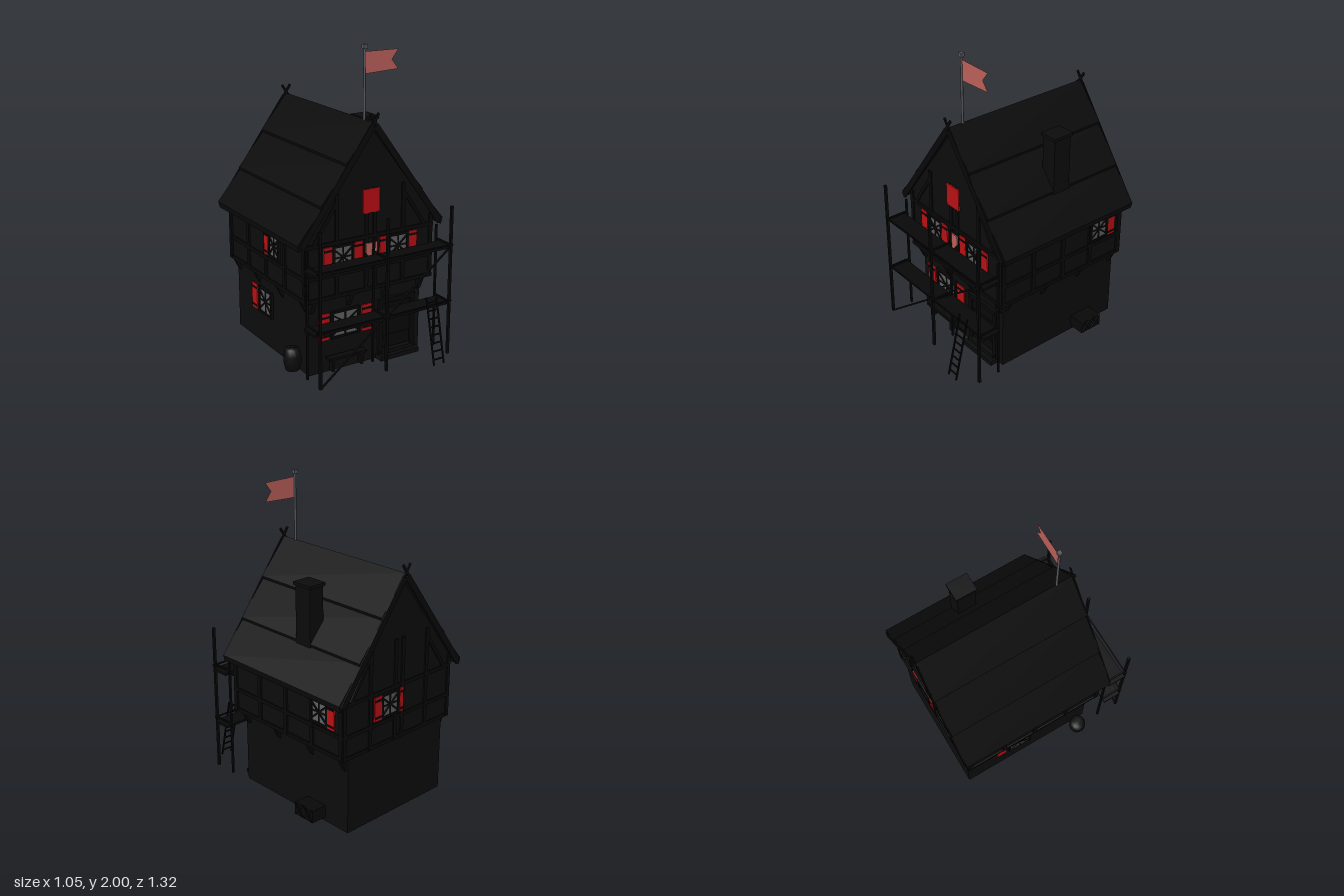
import * as THREE from 'three';

const mat = (name, color, side = THREE.FrontSide) => {
  const m = new THREE.MeshStandardMaterial({ color, side });
  m.name = name;
  return m;
};

export function createModel() {
  const root = new THREE.Group();
  root.name = 'timberHouse';
  const wall = mat('sootBlackWall', 0x0c0c0c, THREE.DoubleSide);
  const timber = mat('darkTimber', 0x080808);
  const tile = mat('darkRoof', 0x0b0b0b);
  const red = mat('shutterRed', 0xb81014);
  const glass = mat('greyGlass', 0x606064);
  const cloth = mat('fadedRedCloth', 0xbc605a, THREE.DoubleSide);
  const iron = mat('poleGrey', 0x55555c);

  const add = (name, geo, m, parent = root) => {
    const mesh = new THREE.Mesh(geo, m);
    mesh.name = name;
    parent.add(mesh);
    return mesh;
  };
  // Box given by its min and max on each axis
  const box = (name, m, x0, x1, y0, y1, z0, z1, parent = root) => {
    const mesh = add(name, new THREE.BoxGeometry(x1 - x0, y1 - y0, z1 - z0), m, parent);
    mesh.position.set((x0 + x1) / 2, (y0 + y1) / 2, (z0 + z1) / 2);
    return mesh;
  };
  // Square beam between two points
  const beam = (name, a, b, t, m = timber, parent = root, d = t) => {
    const p = new THREE.Vector3(...a), q = new THREE.Vector3(...b);
    const mesh = add(name, new THREE.BoxGeometry(t, p.distanceTo(q), d), m, parent);
    mesh.position.copy(p).add(q).multiplyScalar(0.5);
    mesh.quaternion.setFromUnitVectors(new THREE.Vector3(0, 1, 0), q.sub(p).normalize());
    return mesh;
  };
  const shapeOf = pts => new THREE.Shape(pts.map(p => new THREE.Vector2(...p)));
  const extrude = (pts, depth) =>
    new THREE.ExtrudeGeometry(shapeOf(pts), { depth, bevelEnabled: false });

  // Ground floor, open underneath
  const groundGeo = new THREE.BoxGeometry(0.82, 0.5, 0.93);
  const idx = Array.from(groundGeo.index.array);
  groundGeo.setIndex([...idx.slice(0, 12), ...idx.slice(24)]);
  groundGeo.clearGroups();
  add('groundFloorWalls', groundGeo, wall).position.set(0, 0.25, -0.145);

  // Upper floor and gables
  add('upperFloorWalls', extrude(
    [[-0.455, 0.5], [0.455, 0.5], [0.455, 0.93], [0, 1.52], [-0.455, 0.93]], 0.98), wall)
    .position.z = -0.615;

  // Horizontal beams around the upper floor
  for (const y of [0.51, 0.65, 0.85])
    box('wallBeam', timber, -0.465, 0.465, y - 0.012, y + 0.012, -0.622, 0.375);
  // Posts on the long sides and gables
  for (const s of [-1, 1]) {
    for (const z of [-0.6, -0.35, -0.12, 0.12, 0.355])
      box('sidePost', timber, s * 0.457 - 0.01, s * 0.457 + 0.01, 0.5, 0.9, z - 0.014, z + 0.014);
    for (const z of [-0.617, 0.367]) {
      for (const x of [0.03, 0.24, 0.45])
        box('gablePost', timber, s * x - 0.013, s * x + 0.013, 0.5, x > 0.4 ? 0.92 : 1.15, z - 0.007, z + 0.007);
      beam('gableBrace', [s * 0.4, 0.86, z], [s * 0.24, 1.1, z], 0.022, timber, root, 0.014);
    }
    // Brackets under the jetty
    for (const x of [0.395, 0.13])
      beam('frontBracket', [s * x, 0.42, 0.318], [s * x, 0.51, 0.36], 0.03);
    for (const z of [-0.58, -0.3, 0, 0.29])
      beam('sideBracket', [s * 0.405, 0.42, z], [s * 0.45, 0.51, z], 0.025);
  }

  // Roof: three overlapping courses on each slope
  const ridge = 1.565, slope = 1.31;
  const courses = [[0, 0.19, 0.003], [0.17, 0.365, 0], [0.345, 0.525, -0.003]];
  for (const s of [-1, 1]) {
    courses.forEach(([x0, x1, lift], i) => {
      const top = x => ridge - slope * x + lift;
      const pts = [[s * x0, top(x0) - 0.012], [s * x1, top(x1) + 0.012],
        [s * (x1 - 0.012), top(x1) - 0.03], [s * x0, top(x0) - 0.045]];
      add('roofCourse' + i, extrude(pts, 1.045), tile).position.z = -0.65;
    });
    // Bargeboards crossing at the ridge
    for (const z of [-0.654, 0.4]) {
      beam('bargeboard', [-s * 0.03, 1.61, z], [s * 0.04, 1.505, z], 0.016, timber, root, 0.008);
      beam('bargeboard', [s * 0.01, 1.535, z], [s * 0.5, 0.865, z], 0.04, timber, root, 0.008);
    }
  }

  // Chimney
  box('chimney', tile, 0.26, 0.365, 1.05, 1.45, -0.24, -0.115);
  box('chimneyCap', tile, 0.25, 0.375, 1.44, 1.46, -0.25, -0.105);

  // Window facing +z: shutters lists [centre, width] pairs
  const windowAt = (name, x, y, z, turn, w, h, shutters) => {
    const g = new THREE.Group();
    g.name = name;
    g.position.set(x, y, z);
    g.rotation.y = turn;
    root.add(g);
    const a = w / 2, b = h / 2;
    box('pane', glass, -a, a, -b, b, -0.008, 0.008, g);
    for (const s of [-1, 1]) {
      box('frameSide', timber, s * (a + 0.008) - 0.008, s * (a + 0.008) + 0.008, -b - 0.015, b + 0.015, -0.01, 0.016, g);
      box('frameRail', timber, -a, a, s * (b + 0.007) - 0.007, s * (b + 0.007) + 0.007, -0.01, 0.016, g);
      beam('latticeBar', [-a, -s * b * 0.8, 0.011], [a, s * b * 0.8, 0.011], 0.011, timber, g, 0.006);
    }
    box('mullion', timber, -0.005, 0.005, -b, b, -0.01, 0.012, g);
    box('crossBar', timber, -a, a, -0.005, 0.005, -0.01, 0.012, g);
    for (const [c, sw] of shutters) {
      const hs = b + 0.013;
      box('shutter', red, c - sw / 2, c + sw / 2, -hs, hs, 0.006, 0.015, g);
      for (const t of [-1, 1])
        box('shutterStrap', timber, c - sw / 2, c + sw / 2, t * hs * 0.7 - 0.006, t * hs * 0.7 + 0.006, 0.014, 0.019, g);
    }
  };
  const H = Math.PI / 2;
  for (const s of [-1, 1])
    windowAt('frontUpperWindow', s * 0.2, 0.755, 0.367, 0, 0.12, 0.13, [[-0.108, 0.06], [0.108, 0.06]]);
  windowAt('frontLowerWindow', -0.155, 0.305, 0.322, 0, 0.17, 0.15, [[-0.155, 0.08], [0.155, 0.075]]);
  windowAt('leftUpperWindow', 0.457, 0.755, -0.42, H, 0.12, 0.13, [[0.1, 0.07]]);
  windowAt('rightLowerWindow', -0.412, 0.305, -0.21, -H, 0.14, 0.15, [[-0.14, 0.07]]);
  windowAt('rightUpperWindow', -0.457, 0.755, 0, -H, 0.1, 0.13, [[-0.095, 0.05]]);
  windowAt('backWindow', 0.08, 0.755, -0.617, Math.PI, 0.12, 0.13, [[-0.1, 0.07], [0.095, 0.03]]);

  // Gable hatch and shield
  box('gableHatch', red, -0.06, 0.06, 1.0, 1.15, 0.37, 0.379);
  add('shield', extrude([[-0.04, 0.81], [-0.04, 0.75], [0, 0.7], [0.04, 0.75], [0.04, 0.81]], 0.008), cloth)
    .position.z = 0.376;

  // Door with frame, straps and steps
  box('door', timber, 0.12, 0.33, 0.06, 0.36, 0.315, 0.328);
  for (const x of [0.105, 0.345]) box('doorPost', timber, x - 0.015, x + 0.015, 0.0, 0.4, 0.315, 0.34);
  box('doorLintel', timber, 0.09, 0.36, 0.37, 0.4, 0.315, 0.345);
  for (const y of [0.14, 0.28]) box('doorStrap', timber, 0.13, 0.32, y - 0.008, y + 0.008, 0.327, 0.333);
  box('lowerStep', tile, 0.08, 0.37, 0, 0.03, 0.32, 0.385);
  box('upperStep', tile, 0.1, 0.35, 0.03, 0.055, 0.32, 0.355);
  // Bench below the front window
  box('benchSeat', timber, -0.3, -0.03, 0.095, 0.11, 0.335, 0.385);
  for (const x of [-0.27, -0.06]) box('benchLeg', timber, x - 0.01, x + 0.01, 0.02, 0.1, 0.345, 0.38);

  // Barrel
  add('barrel', new THREE.LatheGeometry([[0, 0], [0.044, 0], [0.055, 0.045], [0.055, 0.095], [0.044, 0.14], [0, 0.14]]
    .map(p => new THREE.Vector2(...p)), 14), tile).position.set(-0.475, 0.03, 0.23);

  // Firewood crate by the side wall
  box('crate', timber, 0.412, 0.52, 0.03, 0.11, -0.42, -0.26);
  for (const z of [-0.38, -0.3])
    for (const s of [-1, 1])
      beam('crateSlat', [0.521, 0.035, z - s * 0.035], [0.521, 0.115, z + s * 0.035], 0.01);

  // Scaffold
  const scaffold = new THREE.Group();
  scaffold.name = 'scaffold';
  root.add(scaffold);
  const pole = (a, b, t = 0.016) => beam('scaffoldPole', a, b, t, timber, scaffold);
  for (const x of [-0.47, 0, 0.47]) {
    pole([x, 0.03, 0.555], [x, 1.01, 0.555]);
    pole([x, 0.03, 0.405], [x, 0.85, 0.405], 0.013);
    for (const y of [0.385, 0.76]) pole([x, y, 0.405], [x, y, 0.555], 0.01);
  }
  for (const y of [0.367, 0.737]) {
    box('scaffoldPlanks', timber, -0.498, 0.498, y - 0.008, y + 0.008, 0.415, 0.537, scaffold);
    pole([-0.49, y + 0.02, 0.552], [0.49, y + 0.02, 0.552], 0.008);
  }
  pole([-0.47, 0.03, 0.555], [0, 0.4, 0.555], 0.01);
  pole([0.47, 0.75, 0.555], [0, 0.385, 0.555], 0.01);

  // Ladder
  for (const x of [0.29, 0.365]) beam('ladderRail', [x, 0.03, 0.656], [x, 0.45, 0.56], 0.009);
  for (let i = 0; i < 8; i++) {
    const t = (i + 0.7) / 8.4, y = 0.03 + 0.42 * t, z = 0.656 - 0.096 * t;
    beam('ladderRung', [0.29, y, z], [0.365, y, z], 0.008);
  }

  // Flagpole and swallow-tailed flag
  add('flagpole', new THREE.CylinderGeometry(0.008, 0.008, 0.46, 8), iron).position.set(0, 1.76, 0.29);
  box('flagpoleKnob', iron, -0.013, 0.013, 1.975, 2.0, 0.277, 0.303);
  add('flag', new THREE.ShapeGeometry(shapeOf(
    [[0.005, 1.825], [0.24, 1.835], [0.195, 1.895], [0.24, 1.955], [0.005, 1.957]])), cloth).position.z = 0.29;

  return root;
}
